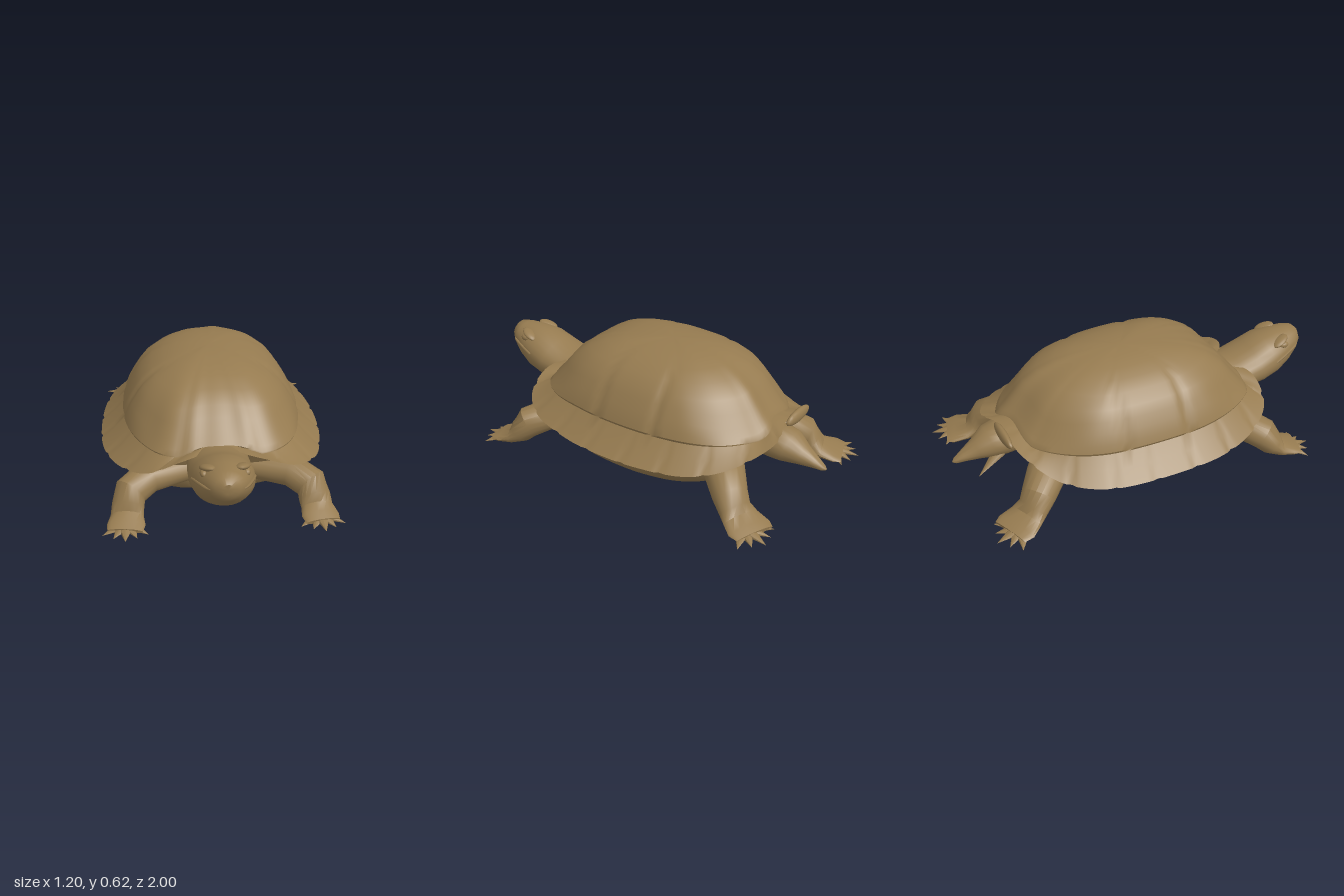
import * as THREE from 'three';
import { toCreasedNormals } from 'three/addons/utils/BufferGeometryUtils.js';

const skin = new THREE.MeshStandardMaterial({ color: 0x967b50 });
skin.name = 'tan';

const V = (x, y, z) => new THREE.Vector3(x, y, z);
const { smoothstep, lerp } = THREE.MathUtils;

// Surface through closed rings of equal length
function skinRings(rings, crease = 0.7) {
  const n = rings[0].length;
  const pos = [];
  const tri = (a, b, c) => {
    if (a.distanceTo(b) < 1e-6 || b.distanceTo(c) < 1e-6 || a.distanceTo(c) < 1e-6) return;
    for (const p of [a, b, c]) pos.push(p.x, p.y, p.z);
  };
  for (let k = 0; k < rings.length - 1; k++) {
    for (let j = 0; j < n; j++) {
      const i = (j + 1) % n;
      const a = rings[k][j], b = rings[k][i], c = rings[k + 1][i], d = rings[k + 1][j];
      tri(a, b, c);
      tri(a, c, d);
    }
  }
  const g = new THREE.BufferGeometry();
  g.setAttribute('position', new THREE.Float32BufferAttribute(pos, 3));
  return toCreasedNormals(g, crease);
}

// Limb-like solid: stations are [x, y, z, side radius, up radius]
function limb(stations, n = 18) {
  const pts = stations.map(s => V(s[0], s[1], s[2]));
  const last = pts.length - 1;
  const rings = stations.map((s, k) => {
    const t = pts[Math.min(k + 1, last)].clone().sub(pts[Math.max(k - 1, 0)]).normalize();
    const side = V(0, 1, 0).cross(t).normalize();
    const up = t.clone().cross(side);
    return Array.from({ length: n }, (_, j) => {
      const a = (j / n) * Math.PI * 2;
      return pts[k].clone().addScaledVector(side, Math.cos(a) * s[3]).addScaledVector(up, Math.sin(a) * s[4]);
    });
  });
  const cap = p => Array.from({ length: n }, () => p);
  return skinRings([cap(pts[0]), ...rings, cap(pts[last])]);
}

function add(parent, name, geometry) {
  const m = new THREE.Mesh(geometry, skin);
  m.name = name;
  parent.add(m);
  return m;
}

function blob(parent, name, p, r) {
  const m = add(parent, name, new THREE.SphereGeometry(1, 16, 10));
  m.position.set(...p);
  m.scale.set(...r);
  return m;
}

// Flattened cone lying from one point to another
function spike(parent, name, from, to, r, flat) {
  const d = to.clone().sub(from);
  const m = add(parent, name, new THREE.ConeGeometry(r, d.length(), 8));
  m.position.copy(from).addScaledVector(d, 0.5);
  const y = d.clone().normalize();
  const x = y.clone().cross(V(0, 1, 0)).normalize();
  m.quaternion.setFromRotationMatrix(new THREE.Matrix4().makeBasis(x, y, x.clone().cross(y)));
  m.scale.z = flat;
}

// Shell rim outline, anticlockwise from the front notch
const RIM = [
  [-.03, .35, .56], [.16, .33, .62], [.32, .27, .59], [.45, .23, .45], [.52, .205, .2], [.54, .2, 0],
  [.53, .2, -.25], [.47, .21, -.5], [.35, .25, -.67], [.12, .33, -.79], [-.02, .36, -.75], [-.25, .32, -.73],
  [-.43, .23, -.6], [-.55, .2, -.4], [-.6, .2, 0], [-.58, .205, .25], [-.5, .22, .45], [-.38, .26, .59], [-.22, .33, .62],
];
const CX = -.03, CZ = -.08, N = 160;
const rim = new THREE.CatmullRomCurve3(RIM.map(p => V(...p)), true).getSpacedPoints(N).slice(0, N);
const scaled = (p, sx, sz, y) => V(CX + (p.x - CX) * sx, y, CZ + (p.z - CZ) * sz);

function shell() {
  // Border with small notches between its plates
  const notch = j => j % 8 === 4;
  const edge = rim.map((p, j) => (notch(j) ? scaled(p, .988, .988, p.y) : p.clone()));
  const base = p => Math.max(.322, p.y + .012);
  const flare = rim.map((p, j) => scaled(p, .88, .95, p.y * .5 + base(p) * .5 - (notch(j) ? .006 : 0)));
  const groove = rim.map(p => scaled(p, .785, .905, base(p) - .003));
  const rings = [rim.map(p => scaled(p, .86, .84, p.y + .005)), edge, flare, groove];
  // Dome: ring size, height at the sides, height at the ends
  const dome = [
    [1, .03, .01], [.97, .15, .08], [.92, .29, .2], [.85, .46, .39], [.78, .6, .57], [.66, .755, .75],
    [.52, .86, .875], [.38, .935, .945], [.22, .98, .985], [.1, .995, 1], [0, 1, 1],
  ];
  for (const [t, fSide, fEnd] of dome) {
    rings.push(rim.map(p => {
      const f = lerp(fSide, fEnd, smoothstep(Math.abs(p.z - CZ), .35, .62));
      const q = scaled(p, .795 * t, .9 * t, base(p) * (1 - f) + .635 * f);
      // Fill the front notch, and dip where the large plates meet
      if (p.z > 0) q.z += .045 * t * Math.exp(-(((p.x - CX) / .1) ** 2));
      const side = smoothstep(Math.abs(q.x - CX), .15, .32);
      let dip = 0;
      for (const s of [.08, -.25]) dip = Math.max(dip, Math.exp(-(((q.z - s) / .022) ** 2)));
      q.x -= (q.x - CX) * .02 * dip * side;
      q.y -= .006 * dip * side;
      return q;
    }));
  }
  return skinRings(rings, .6);
}

function underside() {
  const levels = [[0, 0, .042], [.3, .35, .04], [.6, .64, .042], [.75, .685, .07], [.85, .71, .12], [.92, .74, .175]];
  const rings = levels.map(([sx, sz, y]) => rim.map(p => scaled(p, sx, sz, y)));
  rings.push(rim.map(p => scaled(p, .94, .86, p.y + .01)));
  return skinRings(rings, .6);
}

function leg(parent, name, side, midX, stations, foot, heading, reach) {
  const g = new THREE.Group();
  g.name = name;
  parent.add(g);
  add(g, 'limb', limb(stations.map(([x, ...rest]) => [midX + side * (x - midX), ...rest])));
  // Fan of flat toes
  const [fx, fy, fz] = foot;
  for (let i = -2; i <= 2; i++) {
    const a = heading + i * .48;
    const at = (r, y) => V(midX + side * (fx + Math.sin(a) * r - midX), y, fz + Math.cos(a) * r);
    spike(g, 'toe', at(0, fy), at(reach * (i % 2 ? .9 : 1), .018), .05, .4);
  }
}

export function createModel() {
  const model = new THREE.Group();
  model.name = 'turtle';

  add(model, 'shell', shell());
  add(model, 'underside', underside());

  // Neck and head
  const head = new THREE.Group();
  head.name = 'head';
  head.position.x = -.04;
  model.add(head);
  add(head, 'neckAndSkull', limb([
    [0, .26, .3, .12, .08], [0, .27, .5, .15, .09], [0, .275, .6, .155, .095], [0, .295, .71, .157, .112],
    [0, .325, .8, .148, .118], [0, .352, .88, .122, .1], [0, .38, .95, .088, .07], [0, .39, .985, .058, .05], [0, .39, 1, .025, .025],
  ], 24));
  const jaw = [[-.145, .335, .79], [-.119, .358, .88], [-.083, .37, .95], [0, .372, .99], [.083, .37, .95], [.119, .358, .88], [.145, .335, .79]];
  add(head, 'mouthRidge', new THREE.TubeGeometry(new THREE.CatmullRomCurve3(jaw.map(p => V(...p))), 32, .008, 6));
  for (const s of [-1, 1]) {
    blob(head, 'eye', [s * .098, .402, .86], [.018, .018, .028]);
    blob(head, 'brow', [s * .08, .42, .845], [.034, .016, .055]).rotation.set(-.35, -s * .35, 0);
  }

  // Legs
  const front = [
    [.0, .165, .33, .08, .06], [.15, .18, .39, .09, .07], [.33, .172, .465, .09, .078], [.415, .137, .54, .083, .082],
    [.43, .085, .578, .08, .066], [.437, .05, .62, .08, .04], [.443, .038, .68, .092, .026], [.45, .03, .725, .085, .013],
  ];
  const back = [
    [.12, .21, -.48, .1, .08], [.31, .18, -.62, .1, .085], [.375, .13, -.69, .088, .08],
    [.395, .08, -.73, .085, .058], [.41, .05, -.775, .1, .036], [.44, .037, -.84, .118, .024], [.455, .03, -.88, .105, .013],
  ];
  for (const [label, s] of [['left', 1], ['right', -1]]) {
    leg(model, label + 'FrontLeg', s, -.025, front, [.445, .038, .665], .05, .135);
    leg(model, label + 'BackLeg', s, .01, back, [.45, .038, -.815], Math.PI - .25, .15);
  }

  // Tail and the loose skin beside it
  add(model, 'tail', limb([
    [0, .26, -.55, .1, .07], [0, .265, -.74, .11, .085], [0, .255, -.8, .1, .08], [0, .23, -.87, .062, .052],
    [0, .21, -.94, .035, .028], [0, .195, -.985, .018, .014], [0, .192, -1, .004, .004],
  ]));
  blob(model, 'tailFlap', [-.12, .36, -.765], [.11, .035, .022]);
  spike(model, 'skinPoint', V(-.06, .22, -.77), V(-.12, .15, -.91), .04, .5);

  return model;
}
